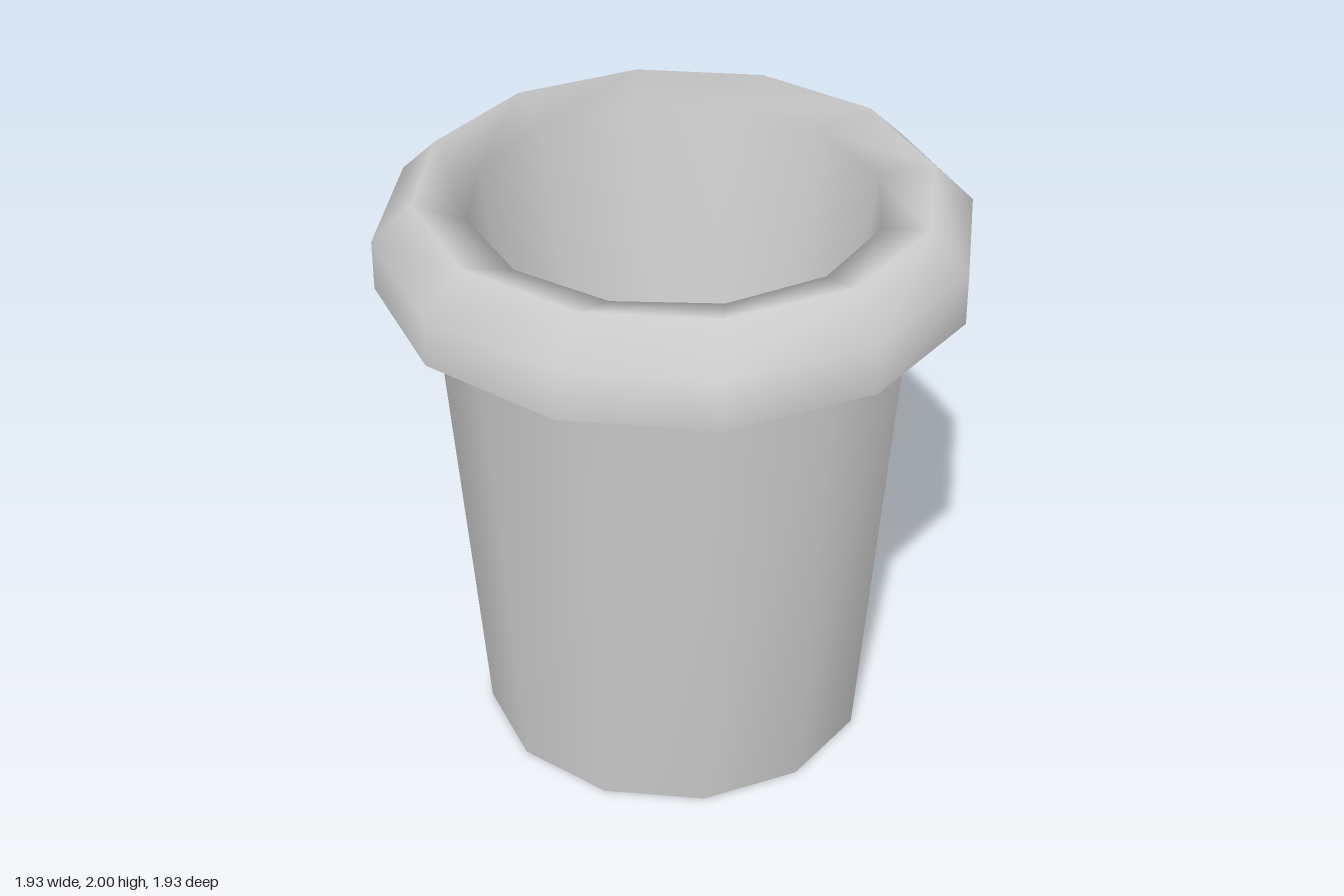
import * as THREE from 'three';

const SIDES = 12;
const material = new THREE.MeshStandardMaterial({ color: 0xcccccc });

// Smooth skin through rings given as [radius, height, twist in degrees].
// Each skin is smooth inside and meets its neighbours at a hard edge.
function ringSkin(name, rings) {
  const positions = [], index = [];
  for (const [r, y, twist] of rings) {
    for (let i = 0; i < SIDES; i++) {
      const a = THREE.MathUtils.degToRad(twist) + (i / SIDES) * Math.PI * 2;
      positions.push(r * Math.cos(a), y, r * Math.sin(a));
    }
  }
  for (let j = 0; j < rings.length - 1; j++) {
    for (let i = 0; i < SIDES; i++) {
      const k = (i + 1) % SIDES;
      const a = j * SIDES + i, b = a + SIDES;
      const c = j * SIDES + k, d = c + SIDES;
      if (rings[j][0] > 0) index.push(a, b, c);
      if (rings[j + 1][0] > 0) index.push(c, b, d);
    }
  }
  const geometry = new THREE.BufferGeometry();
  geometry.setAttribute('position', new THREE.Float32BufferAttribute(positions, 3));
  geometry.setIndex(index);
  geometry.computeVertexNormals();
  const mesh = new THREE.Mesh(geometry, material);
  mesh.name = name;
  return mesh;
}

// Disc fan facing up or down
const disc = (name, r, y, twist, up) =>
  ringSkin(name, up ? [[r, y, twist], [0, y, twist]] : [[0, y, twist], [r, y, twist]]);

export function createModel() {
  const group = new THREE.Group();
  group.name = 'pot';
  group.add(
    disc('base', 0.66, 0, 6, false),
    // Tapered outside wall with a short upright foot
    ringSkin('outerWall', [[0.66, 0, 6], [0.665, 0.06, 6], [0.8, 1.79, 6]]),
    // Hollow under the overhanging rim
    ringSkin('rimRecess', [[0.8, 1.79, 6], [0.935, 1.79, 6]]),
    ringSkin('rimInnerSkirt', [[0.935, 1.79, 6], [0.935, 1.7, 6]]),
    ringSkin('rimBottom', [[0.935, 1.7, 6], [0.972, 1.7, 6]]),
    // Rounded rim rolling over into the inside wall
    ringSkin('rimAndInnerWall', [
      [0.972, 1.7, 6], [0.972, 1.87, 6], [0.84, 2, 5],
      [0.67, 1.95, 1.7], [0.443, 0.14, 7.7],
    ]),
    disc('floor', 0.443, 0.14, 7.7, true),
  );
  return group;
}
